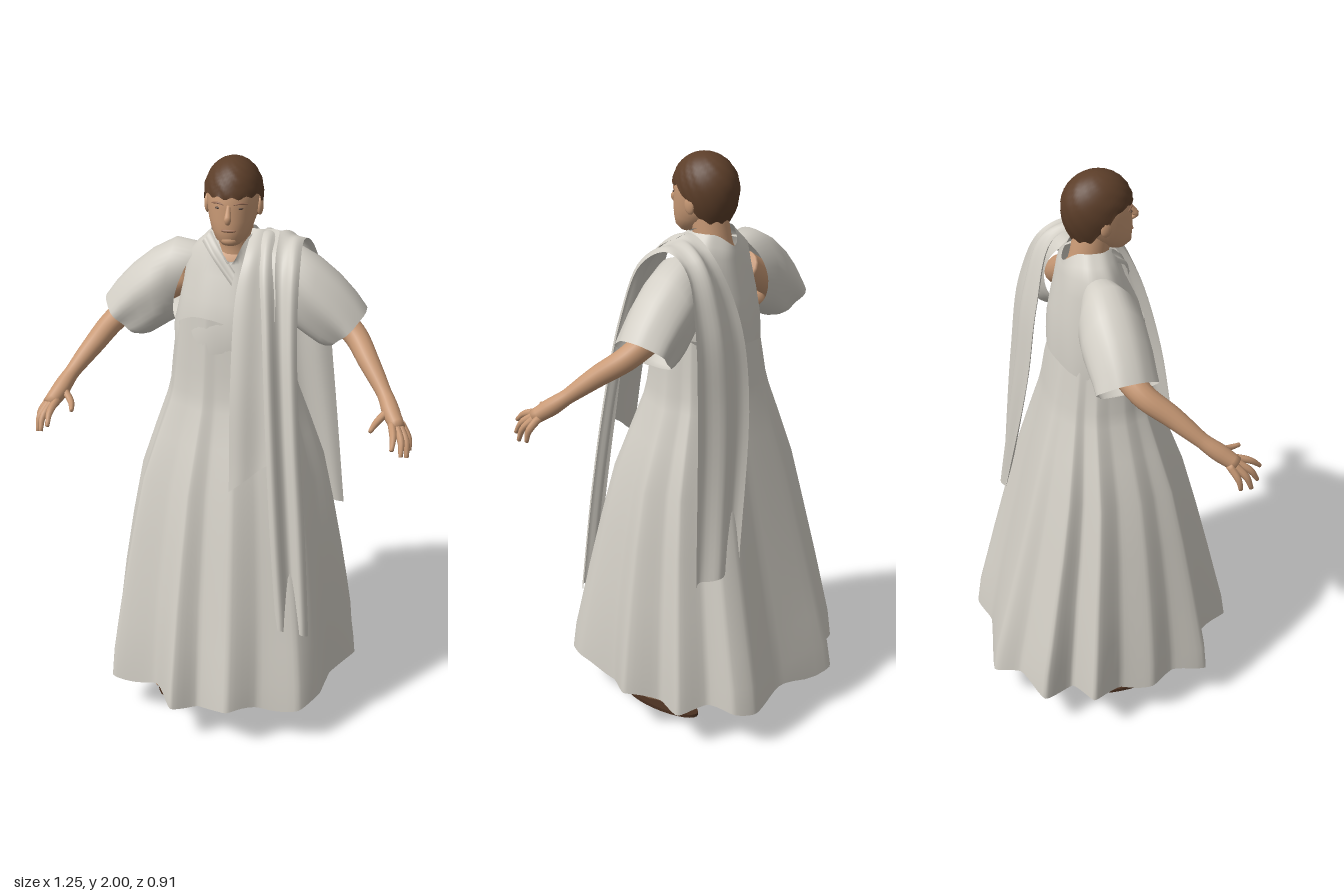
import * as THREE from 'three';

const mat = (name, color, side = THREE.FrontSide) => {
  const m = new THREE.MeshStandardMaterial({ color, side });
  m.name = name;
  return m;
};
const V = (p) => new THREE.Vector3(...p);
const { sin, cos, abs, sign, pow, sqrt, max, PI } = Math;
const { lerp, smoothstep } = THREE.MathUtils;

// Skin rows of points; closed rows wrap round, open rows make a strip
function loft(rows, closed = true) {
  const n = rows[0].length, pos = [], idx = [];
  rows.forEach((r) => r.forEach((p) => pos.push(p.x, p.y, p.z)));
  for (let i = 0; i < rows.length - 1; i++)
    for (let j = 0; j < (closed ? n : n - 1); j++) {
      const k = (j + 1) % n, a = i * n + j, b = i * n + k, c = b + n, d = a + n;
      idx.push(a, b, c, a, c, d);
    }
  const g = new THREE.BufferGeometry();
  g.setAttribute('position', new THREE.Float32BufferAttribute(pos, 3));
  g.setIndex(idx);
  g.computeVertexNormals();
  return g;
}

// Ring of n points from a function of the angle (0 = front, quarter turn = +x)
const ring = (n, f) => Array.from({ length: n }, (_, j) => V(f((j / n) * 2 * PI)));

// Tapered round limb along a smooth path, closed at both ends
function limb(points, radii, sides = 12, steps = 16) {
  const curve = new THREE.CatmullRomCurve3(points.map(V));
  const fr = curve.computeFrenetFrames(steps);
  const rows = [];
  const add = (i, r) => {
    const c = curve.getPointAt(i / steps);
    rows.push(ring(sides, (a) => c.clone().addScaledVector(fr.normals[i], r * cos(a))
      .addScaledVector(fr.binormals[i], r * sin(a)).toArray()));
  };
  add(0, 0.0005);
  for (let i = 0; i <= steps; i++) {
    const t = (i / steps) * (radii.length - 1), k = Math.min(Math.floor(t), radii.length - 2);
    add(i, lerp(radii[k], radii[k + 1], t - k));
  }
  add(steps, 0.0005);
  return loft(rows);
}

// Cloth band between two edge paths, with lengthwise pleats
function band(edgeA, edgeB, steps, pleats, depth) {
  const a = new THREE.CatmullRomCurve3(edgeA.map(V)), b = new THREE.CatmullRomCurve3(edgeB.map(V));
  const rows = [];
  for (let i = 0; i <= steps; i++) {
    const p = a.getPoint(i / steps), q = b.getPoint(i / steps);
    rows.push(Array.from({ length: 17 }, (_, j) => {
      const v = p.clone().lerp(q, j / 16), w = depth * sin((j / 16) * PI * pleats);
      v.z += w;
      v.y += abs(w) * 0.3;
      return v;
    }));
  }
  return loft(rows, false);
}

export function createModel() {
  const model = new THREE.Group();
  const cloth = mat('cloth', 0xd2cec5, THREE.DoubleSide);
  const skin = mat('skin', 0xc89975);
  const hair = mat('hair', 0x5c3e29, THREE.DoubleSide);
  const leather = mat('leather', 0x4a3020);
  const lipTone = mat('lips and brows', 0xa0745a);
  const eyeTone = mat('eyes', 0x5a463a);
  const add = (name, geo, m, p) => {
    const mesh = new THREE.Mesh(geo, m);
    mesh.name = name;
    if (p) mesh.position.set(...p);
    model.add(mesh);
    return mesh;
  };
  const ball = (name, m, p, s) => add(name, new THREE.SphereGeometry(1, 16, 12), m, p).scale.set(...s);
  const round = (v) => sign(v) * pow(abs(v), 0.9);

  // Skirt: an uneven pleated hem outline [x, z] that melts into a plain oval waist
  const hem = new THREE.CatmullRomCurve3([
    [0.047, 0.453], [0.147, 0.383], [0.29, 0.377], [0.353, 0.29], [0.37, 0.12], [0.45, 0.01], [0.38, -0.1],
    [0.42, -0.207], [0.33, -0.27], [0.31, -0.367], [0.24, -0.41], [0.09, -0.4], [-0.147, -0.46], [-0.21, -0.38],
    [-0.347, -0.333], [-0.32, -0.22], [-0.437, -0.177], [-0.39, -0.06], [-0.42, 0.05], [-0.385, 0.14],
    [-0.395, 0.265], [-0.23, 0.31], [-0.153, 0.44], [-0.063, 0.393],
  ].map(([x, z]) => V([x, 0, z])), true, 'catmullrom', 0.25).getPoints(144).slice(0, -1);
  // [y, half width, half depth, z centre, pleat strength]
  const skirt = [
    [0.15, 0.43, 0.43, 0, 1], [0.24, 0.424, 0.418, 0, 0.95], [0.36, 0.41, 0.392, 0, 0.85], [0.5, 0.391, 0.362, 0, 0.75],
    [0.7, 0.358, 0.315, 0, 0.68], [0.9, 0.32, 0.267, -0.003, 0.6], [1.05, 0.27, 0.222, -0.01, 0.5],
    [1.17, 0.228, 0.187, -0.015, 0.35], [1.22, 0.216, 0.177, -0.015, 0.28], [1.3, 0.208, 0.165, -0.015, 0.2],
    [1.43, 0.194, 0.148, -0.015, 0.1],
  ];
  add('skirt', loft(skirt.map(([y, hx, hz, cz, f], i) => hem.map((h) => {
    const a = Math.atan2(h.x, h.z);
    const dy = i === 0 ? 0.014 * sin(9 * a) : i === 10 ? 0.045 * cos(a) - 0.02 * sin(3 * a) : 0;
    return V([hx * lerp(round(sin(a)), h.x / 0.43, f), y + dy, cz + hz * lerp(round(cos(a)), h.z / 0.43, f)]);
  }))), cloth);

  // Bodice with a slanted hem and a neckline dipping in front and behind: [y, hx, hz, cz, slant, dip]
  const bodice = [
    [1.38, 0.205, 0.162, -0.018, 0.22, 0], [1.45, 0.203, 0.16, -0.018, 0.1, 0], [1.54, 0.178, 0.143, -0.025, 0, 0],
    [1.62, 0.162, 0.115, -0.035, 0, 0], [1.68, 0.148, 0.097, -0.04, 0, 0.02], [1.715, 0.11, 0.083, -0.04, 0, 0.045],
    [1.75, 0.076, 0.075, -0.035, 0, 0.085],
  ];
  add('bodice', loft(bodice.map(([y, hx, hz, cz, slant, dip]) => ring(64, (a) => {
    const d = dip * pow(abs(cos(a)), 8) * (cos(a) < 0 ? 0.5 : 1), r = 1 + 0.015 * sin(9 * a + y * 8);
    return [hx * r * sin(a), y - d + slant * hx * sin(a), cz + hz * r * cos(a) + d * 0.5 * sign(cos(a))];
  }))), cloth);
  // Collar fold lying diagonally across the chest
  add('collarFold', band([[-0.1, 1.72, 0.02], [-0.06, 1.68, 0.064], [0.01, 1.6, 0.1]],
    [[-0.07, 1.755, 0.015], [-0.035, 1.71, 0.057], [0.02, 1.645, 0.094]], 10, 2, 0.006), cloth);

  // Stole over the left shoulder, with a shorter inner fold in front
  add('stole', band(
    [[0.2, 0.44, 0.325], [0.17, 0.8, 0.295], [0.145, 1.15, 0.25], [0.12, 1.5, 0.175], [0.1, 1.68, 0.09],
      [0.1, 1.755, -0.02], [0.12, 1.71, -0.125], [0.07, 1.5, -0.2], [0.065, 1.22, -0.24], [0.2, 0.65, -0.3]],
    [[0.31, 0.41, 0.305], [0.285, 0.8, 0.268], [0.255, 1.15, 0.225], [0.235, 1.45, 0.165], [0.23, 1.66, 0.08],
      [0.23, 1.725, -0.03], [0.25, 1.68, -0.125], [0.29, 1.5, -0.19], [0.32, 1.2, -0.22], [0.37, 0.64, -0.25]],
    60, 3, 0.014), cloth);
  add('stoleInnerFold', band(
    [[0.03, 0.94, 0.285], [0.025, 1.3, 0.225], [0.03, 1.58, 0.145], [0.05, 1.7, 0.08], [0.06, 1.76, -0.02]],
    [[0.16, 1.04, 0.262], [0.16, 1.3, 0.215], [0.16, 1.55, 0.145], [0.15, 1.69, 0.08], [0.15, 1.755, -0.02]],
    30, 2, 0.006), cloth);

  for (const s of [1, -1]) {
    const side = s > 0 ? 'left' : 'right';
    const flip = (pts) => pts.map(([x, y, z]) => [x * s, y, z]);

    // Bell sleeve, cut away at the armhole: [top x, top y, bottom x, bottom y, half depth, armhole cut]
    const sleeve = [
      [0.12, 1.69, 0.2, 1.42, 0.085, 0.026], [0.2, 1.702, 0.225, 1.405, 0.104, 0.01],
      [0.28, 1.658, 0.255, 1.385, 0.108, 0], [0.35, 1.6, 0.285, 1.365, 0.105, 0],
      [0.405, 1.54, 0.305, 1.36, 0.1, 0], [0.442, 1.488, 0.32, 1.365, 0.098, 0],
    ];
    add(side + 'Sleeve', loft(sleeve.map(([tx, ty, bx, by, hz, cut], i) => ring(40, (a) => {
      const k = (cos(a) + 1) / 2, r = 1 + 0.018 * i * sin(5 * a + 1);
      return [s * (lerp(bx, tx, k) + cut * sin(a) ** 2), lerp(by, ty, k), -0.048 + s * hz * r * round(sin(a))];
    }))), cloth);

    // Arm running into the palm, then fingers and thumb
    add(side + 'Arm', limb(flip([[0.16, 1.58, -0.045], [0.28, 1.5, -0.05], [0.4, 1.42, -0.01], [0.465, 1.35, 0.075],
      [0.53, 1.27, 0.165], [0.552, 1.236, 0.207], [0.578, 1.203, 0.25]]),
    [0.054, 0.053, 0.05, 0.046, 0.042, 0.039, 0.036, 0.031, 0.025, 0.03, 0.025], 16, 36), skin);
    const fingers = [
      [[0.556, 1.216, 0.245], [0.566, 1.195, 0.305], [0.565, 1.165, 0.34]],
      [[0.57, 1.212, 0.245], [0.592, 1.175, 0.295], [0.594, 1.135, 0.32]],
      [[0.582, 1.208, 0.238], [0.608, 1.165, 0.275], [0.612, 1.12, 0.292]],
      [[0.586, 1.21, 0.222], [0.614, 1.165, 0.245], [0.618, 1.128, 0.252]],
      [[0.545, 1.245, 0.2], [0.507, 1.215, 0.245], [0.492, 1.208, 0.297]],
    ];
    fingers.forEach((f, i) => add(side + (i < 4 ? 'Finger' : 'Thumb'),
      limb(flip(f), [0.013, 0.012, 0.007], 8, 8), skin));

    // Leg, foot and toes
    const x = s * 0.22;
    add(side + 'Leg', limb([[x, 0.06, -0.055], [x, 0.2, -0.055], [s * 0.2, 0.42, -0.06], [s * 0.12, 0.95, -0.02]],
      [0.038, 0.045, 0.058, 0.075], 14), skin);
    add(side + 'Foot', limb([[x, 0.045, -0.115], [x, 0.055, -0.06], [x, 0.055, 0.02], [x, 0.042, 0.08], [x, 0.033, 0.13]],
      [0.028, 0.042, 0.044, 0.044, 0.03], 14), skin);
    for (let i = 0; i < 5; i++)
      ball(side + 'Toe', skin, [x + s * (i - 2) * 0.02, 0.028, 0.15 - i * 0.008], [0.011, 0.014, 0.022]);

    // Sandal: sole, foot straps, ankle strap and instep strap
    add(side + 'Sole', new THREE.CylinderGeometry(1, 1, 0.012, 28), leather, [x, 0.006, 0.017]).scale.set(0.053, 1, 0.155);
    for (const [z, y, r] of [[0.02, 0.052, 0.047], [0.085, 0.04, 0.047]]) {
      const strap = add(side + 'FootStrap', new THREE.TorusGeometry(r, 0.006, 6, 20, PI), leather, [x, y, z]);
      strap.scale.z = 2;
    }
    const ankle = add(side + 'AnkleStrap', new THREE.TorusGeometry(0.044, 0.007, 6, 24), leather, [x, 0.122, -0.055]);
    ankle.rotation.x = PI / 2;
    ankle.scale.z = 1.6;
    add(side + 'InstepStrap', limb([[x, 0.12, -0.012], [x, 0.104, 0.02], [x, 0.086, 0.09]], [0.008, 0.008], 6, 8), leather);

    // Ear, eye and brow
    ball(side + 'Ear', skin, [s * 0.086, 1.842, -0.012], [0.011, 0.032, 0.02]);
    ball(side + 'Eye', eyeTone, [s * 0.034, 1.86, 0.087], [0.012, 0.004, 0.006]);
    add(side + 'Brow', limb(flip([[0.016, 1.873, 0.097], [0.036, 1.877, 0.09], [0.058, 1.871, 0.073]]),
      [0.002, 0.004, 0.002], 6, 8), lipTone);
  }

  // Chest and neck under the neckline
  ball('upperChest', skin, [0, 1.61, -0.04], [0.125, 0.1, 0.088]);
  add('neck', limb([[0, 1.6, -0.05], [0, 1.7, -0.042], [0, 1.82, -0.02]], [0.08, 0.063, 0.06], 20), skin);

  // Head: [y, half width, back z, front z]
  const head = [
    [1.728, 0.001, 0.06, 0.062], [1.732, 0.03, 0.02, 0.085], [1.75, 0.05, -0.01, 0.1], [1.78, 0.067, -0.06, 0.104],
    [1.815, 0.078, -0.09, 0.104], [1.86, 0.084, -0.105, 0.1], [1.9, 0.086, -0.115, 0.099],
    [1.94, 0.077, -0.105, 0.08], [1.97, 0.05, -0.07, 0.045], [1.98, 0.001, -0.012, -0.01],
  ];
  add('head', loft(head.map(([y, hx, zb, zf]) => ring(36, (a) =>
    [hx * sin(a), y, (zb + zf) / 2 + ((zf - zb) / 2) * cos(a)]))), skin);
  add('nose', limb([[0, 1.87, 0.096], [0, 1.848, 0.107], [0, 1.826, 0.118], [0, 1.815, 0.104]],
    [0.006, 0.009, 0.012, 0.007], 10, 12), skin);
  ball('chin', skin, [0, 1.752, 0.085], [0.028, 0.018, 0.018]);
  ball('mouth', lipTone, [0, 1.788, 0.1], [0.025, 0.006, 0.007]);

  // Short hair: low at the nape, high over the brow, with small curls
  const rows = [];
  for (let i = 0; i <= 16; i++)
    rows.push(ring(72, (a) => {
      const edge = 1.785 + 0.11 * smoothstep(cos(a), -0.6, 0.55) + 0.005 * sin(13 * a);
      const y = lerp(edge, 2, sin(((i / 16) * PI) / 2)), d = (y - 1.885) / 0.115;
      const r = (d > 0 ? sqrt(max(0, 1 - d * d)) : 1 - 0.3 * d * d) * (1 + 0.018 * sin(12 * a + i * 1.6));
      return [0.096 * r * sin(a), y, -0.013 + 0.117 * r * cos(a)];
    }));
  add('hair', loft(rows), hair);

  return model;
}
